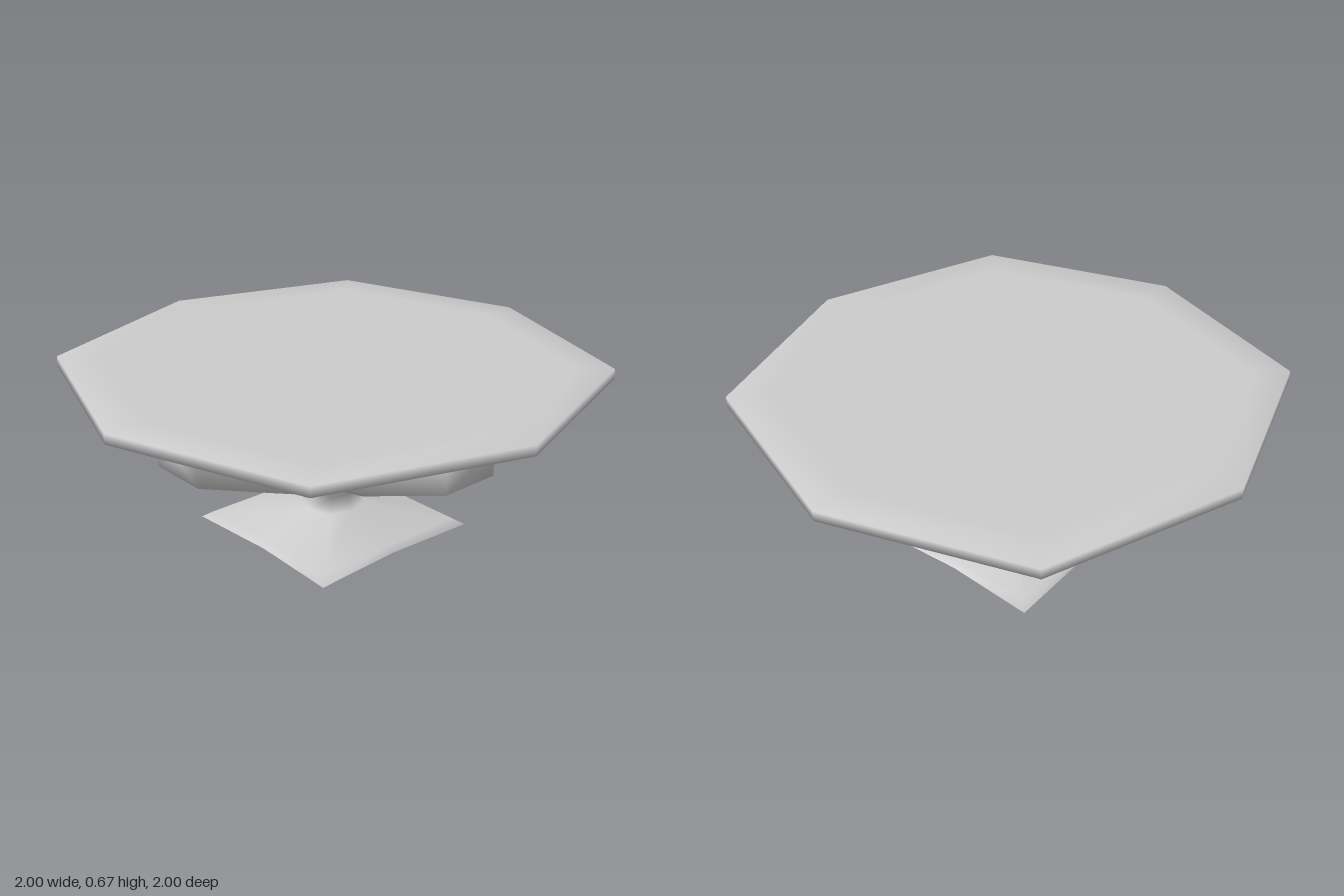
import * as THREE from 'three';

// Skin closed loops of points, given in order along the loft, into one smooth surface
function loft(rings) {
  const n = rings[0].length;
  const index = [];
  for (let i = 0; i < rings.length - 1; i++) {
    for (let j = 0; j < n; j++) {
      const a = i * n + j, b = i * n + (j + 1) % n;
      index.push(a, a + n, b, b, a + n, b + n);
    }
  }
  const geometry = new THREE.BufferGeometry();
  geometry.setAttribute('position', new THREE.Float32BufferAttribute(rings.flat(2), 3));
  geometry.setIndex(index);
  geometry.computeVertexNormals();
  return geometry;
}

// Eight-sided ring: a = reach along the axes, c = x and z of the diagonal corners
const ring = ([a, c, y]) => [
  [a, y, 0], [c, y, c], [0, y, a], [-c, y, c],
  [-a, y, 0], [-c, y, -c], [0, y, -a], [c, y, -c],
];

// Rectangular rib section at x, half width w
const section = ([x, bottom, top, w]) => [
  [x, bottom, w], [x, top, w], [x, top, -w], [x, bottom, -w],
];

export function createModel() {
  const group = new THREE.Group();
  const material = new THREE.MeshStandardMaterial({ color: 0xcccccc, side: THREE.DoubleSide });
  const add = (name, geometry) => {
    const mesh = new THREE.Mesh(geometry, material);
    mesh.name = name;
    group.add(mesh);
    return mesh;
  };

  // Square hollow foot flowing into a waisted column
  add('pedestal', loft([
    [0.35, 0.37, 0], [0.33, 0.335, 0.025], [0.11, 0.085, 0.085],
    [0.095, 0.07, 0.15], [0.12, 0.12, 0.225], [0.12, 0.12, 0.4],
  ].map(ring)));

  // Octagonal top with a conical underside, a thin rim and a flat surface
  add('tableTop', loft([
    [0.12, 0.12, 0.375], [0.45, 0.32, 0.435], [1, 0.745, 0.63],
    [1, 0.745, 0.67], [0.85, 0.64, 0.67], [0, 0, 0.67],
  ].map(ring)));

  // Four supporting ribs, one along each axis, closed at the outer end
  const rib = loft([
    [0.1, 0.22, 0.4, 0.115], [0.3, 0.26, 0.45, 0.12],
    [0.72, 0.42, 0.575, 0.12], [0.725, 0.49, 0.49, 0],
  ].map(section));
  for (let i = 0; i < 4; i++) add('supportRib', rib).rotation.y = i * Math.PI / 2;

  return group;
}
